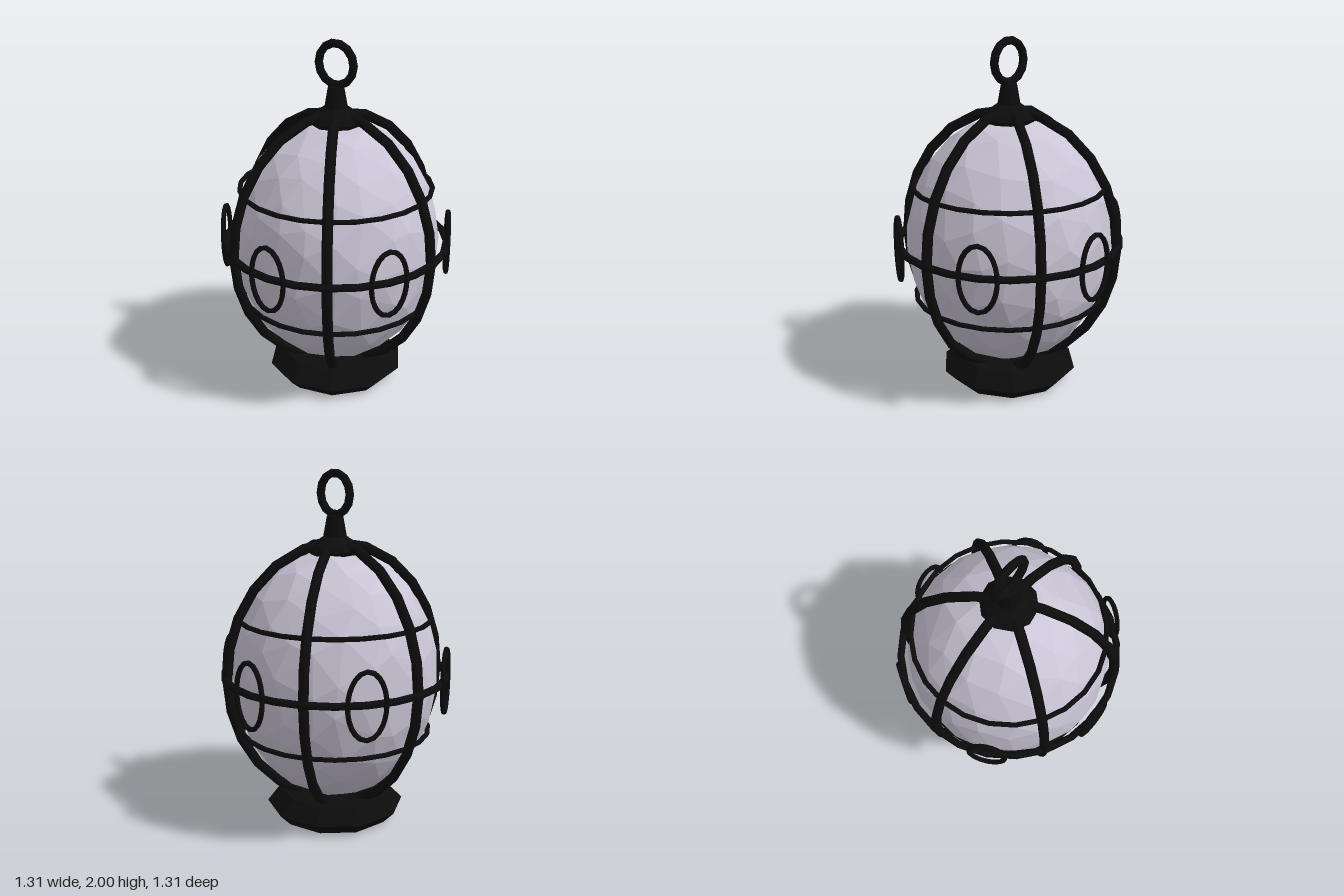
import * as THREE from 'three';

const CENTER_Y = 0.85;

// Closed elliptical hoop in the XY plane, made of a round tube
function hoop(name, rx, ry, tube, segments, material) {
  const points = [];
  for (let i = 0; i < segments; i++) {
    const a = (i / segments) * Math.PI * 2;
    points.push(new THREE.Vector3(Math.cos(a) * rx, Math.sin(a) * ry, 0));
  }
  const curve = new THREE.CatmullRomCurve3(points, true);
  const mesh = new THREE.Mesh(new THREE.TubeGeometry(curve, segments, tube, 8, true), material);
  mesh.name = name;
  return mesh;
}

// Faceted egg-shaped globe with slightly irregular facets
function globeGeometry() {
  const geometry = new THREE.IcosahedronGeometry(1, 3);
  const pos = geometry.attributes.position;
  const v = new THREE.Vector3();
  const wobble = (a, b, c) => Math.sin(a * 17.3 + b * 29.1 + c * 11.7) * 0.055;
  for (let i = 0; i < pos.count; i++) {
    v.fromBufferAttribute(pos, i);
    const { x, y, z } = v;
    v.set(x + wobble(x, y, z), y + wobble(y, z, x), z + wobble(z, x, y)).normalize();
    pos.setXYZ(i, v.x * 0.587, v.y * 0.715, v.z * 0.587);
  }
  geometry.computeVertexNormals();
  return geometry;
}

export function createModel() {
  const model = new THREE.Group();
  model.name = 'cagedLantern';
  const iron = new THREE.MeshStandardMaterial({ color: 0x0c0c0c });
  iron.name = 'black iron';
  const glass = new THREE.MeshStandardMaterial({ color: 0xcac5d6 });
  glass.name = 'pale lilac glass';

  const globe = new THREE.Mesh(globeGeometry(), glass);
  globe.name = 'globe';
  globe.position.y = CENTER_Y;
  model.add(globe);

  // Three full vertical hoops give six ribs
  for (let i = 0; i < 3; i++) {
    const rib = hoop('ribHoop', 0.62, 0.75, 0.028, 24, iron);
    rib.position.y = CENTER_Y;
    rib.rotation.y = (i * Math.PI) / 3;
    model.add(rib);
  }

  // Horizontal bands: height, radius, tube radius
  for (const [y, r, tube] of [[0.53, 0.54, 0.014], [0.855, 0.632, 0.021], [1.18, 0.54, 0.014]]) {
    const band = hoop('band', r, r, tube, 24, iron);
    band.rotation.x = Math.PI / 2;
    band.position.y = y;
    model.add(band);
  }

  // Oval window frames, one between each pair of ribs
  for (let i = 0; i < 6; i++) {
    const a = (i * Math.PI) / 3;
    const oval = hoop('ovalFrame', 0.104, 0.183, 0.014, 24, iron);
    oval.position.set(Math.sin(a) * 0.635, CENTER_Y, Math.cos(a) * 0.635);
    oval.rotation.y = a;
    model.add(oval);
  }

  // Turned parts: base and top cap
  const turned = (name, profile) => {
    const points = profile.map(([r, y]) => new THREE.Vector2(r, y));
    const geometry = new THREE.LatheGeometry(points, 10).toNonIndexed();
    geometry.computeVertexNormals();
    const mesh = new THREE.Mesh(geometry, iron);
    mesh.name = name;
    mesh.rotation.y = -0.1;
    model.add(mesh);
  };
  turned('base', [[0, 0], [0.33, 0], [0.398, 0.07], [0.31, 0.15], [0, 0.15]]);
  turned('topCap', [[0, 1.535], [0.135, 1.535], [0.155, 1.56], [0.13, 1.59], [0.065, 1.635], [0.045, 1.745], [0, 1.755]]);

  // Hanging ring
  const ring = hoop('hangingRing', 0.112, 0.112, 0.023, 14, iron);
  ring.position.y = 1.865;
  model.add(ring);

  return model;
}
